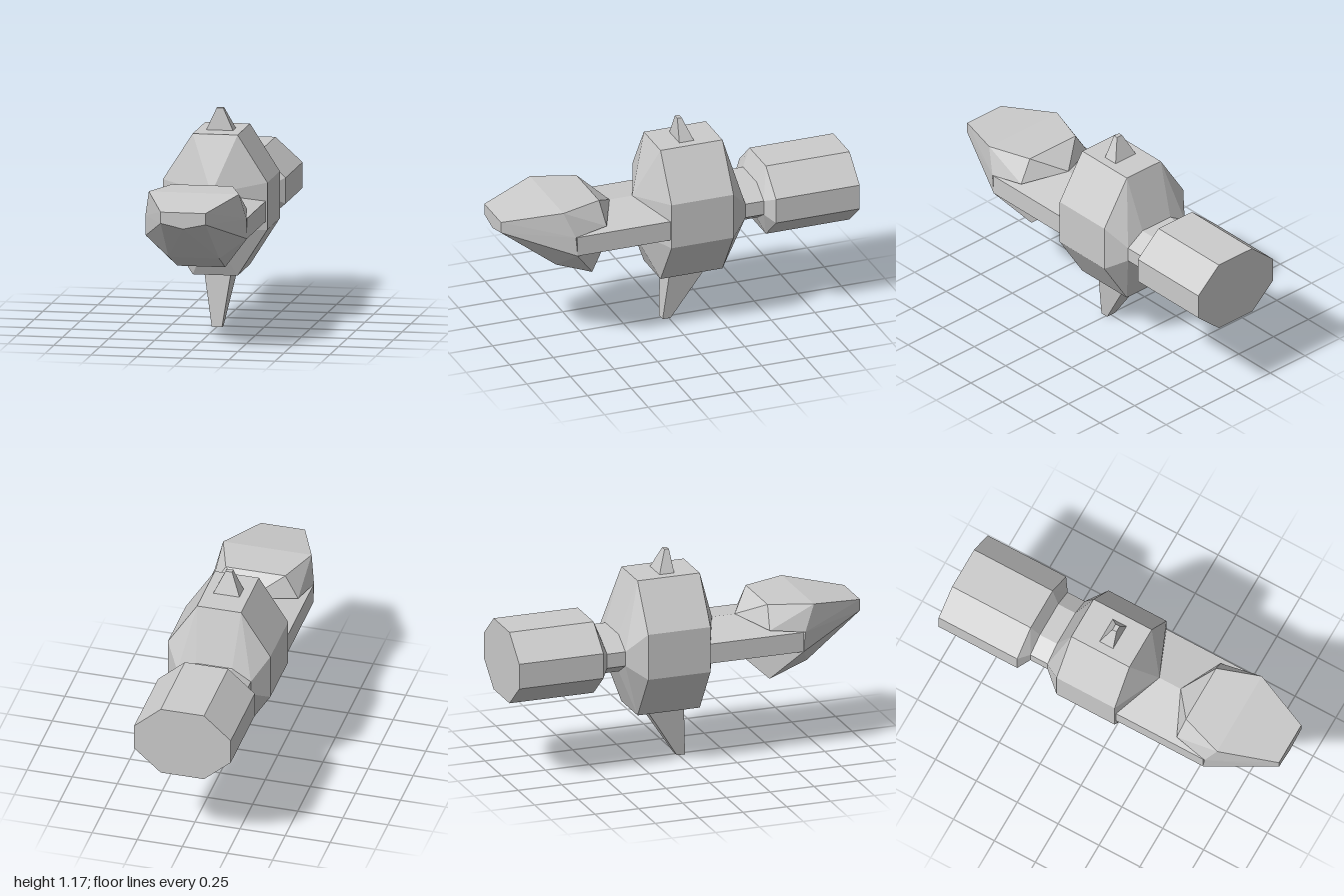
import * as THREE from 'three';
import { ConvexGeometry } from 'three/addons/geometries/ConvexGeometry.js';

const material = new THREE.MeshStandardMaterial({ color: 0xcccccc, flatShading: true });

// Mirrors [x, y, z] points across x = 0; centre points stay single
function mirrored(points) {
  return points.flatMap(([x, y, z]) => (x === 0 ? [[x, y, z]] : [[x, y, z], [-x, y, z]]));
}

// Faceted solid spanning a mirrored half-set of points
function solid(name, halfPoints) {
  const points = mirrored(halfPoints).map((p) => new THREE.Vector3(...p));
  const mesh = new THREE.Mesh(new ConvexGeometry(points), material);
  mesh.name = name;
  return mesh;
}

// Right half of an eight-sided section at depth z
function octagon(z, flatX, sideX, bottom, sideLow, sideHigh, top) {
  return [[flatX, top, z], [sideX, sideHigh, z], [sideX, sideLow, z], [flatX, bottom, z]];
}

// Right half of a rectangle lying at height y
function slab(y, halfWidth, zBack, zFront) {
  return [[halfWidth, y, zBack], [halfWidth, y, zFront]];
}

export function createModel() {
  const group = new THREE.Group();
  group.name = 'spacecraft';

  // Central hull, wedge-shaped in front and tapered behind
  group.add(solid('centralHull', [
    ...octagon(0.085, 0.122, 0.284, 0.29, 0.545, 0.8, 1.053),
    ...octagon(-0.27, 0.122, 0.284, 0.29, 0.545, 0.8, 1.053),
    ...octagon(-0.37, 0.1, 0.204, 0.545, 0.61, 0.69, 0.755),
    [0, 0.75, 0.2], [0, 0.545, 0.2],
  ]));

  // Wide flat neck with a ridge above and below
  const neckSection = (z) => [[0, 0.75, z], [0.275, 0.7, z], [0.275, 0.59, z], [0, 0.545, z]];
  group.add(solid('frontNeck', [...neckSection(0), ...neckSection(0.62)]));

  // Head: upper shell and lower jaw share the front tip
  const tip = [[0.122, 0.727, 1], [0, 0.7, 1]];
  group.add(solid('upperHead', [
    [0, 0.75, 0.33], [0.165, 0.842, 0.455], [0.245, 0.842, 0.69], [0.122, 0.788, 1],
    [0.24, 0.72, 0.44], [0.275, 0.7, 0.63], ...tip,
  ]));
  group.add(solid('lowerJaw', [
    [0, 0.545, 0.33], [0.13, 0.406, 0.48], [0.138, 0.49, 0.69],
    [0.275, 0.59, 0.62], [0.275, 0.7, 0.63], ...tip,
  ]));

  // Rear coupling and engine block
  group.add(solid('rearCoupling', [
    ...octagon(-0.36, 0.1, 0.204, 0.545, 0.61, 0.69, 0.755),
    ...octagon(-0.475, 0.1, 0.204, 0.545, 0.61, 0.69, 0.755),
  ]));
  group.add(solid('engine', [
    ...octagon(-0.475, 0.1, 0.204, 0.545, 0.61, 0.69, 0.755),
    ...octagon(-0.52, 0.12, 0.268, 0.45, 0.58, 0.72, 0.852),
    ...octagon(-1, 0.12, 0.268, 0.45, 0.58, 0.72, 0.852),
  ]));

  // Tapered fins above and below the hull
  group.add(solid('topFin', [...slab(1.05, 0.074, -0.127, -0.042), ...slab(1.172, 0.018, -0.077, -0.052)]));
  group.add(solid('bottomFin', [...slab(0.295, 0.073, -0.2, 0.013), ...slab(0, 0.028, -0.01, 0.036)]));

  return group;
}
